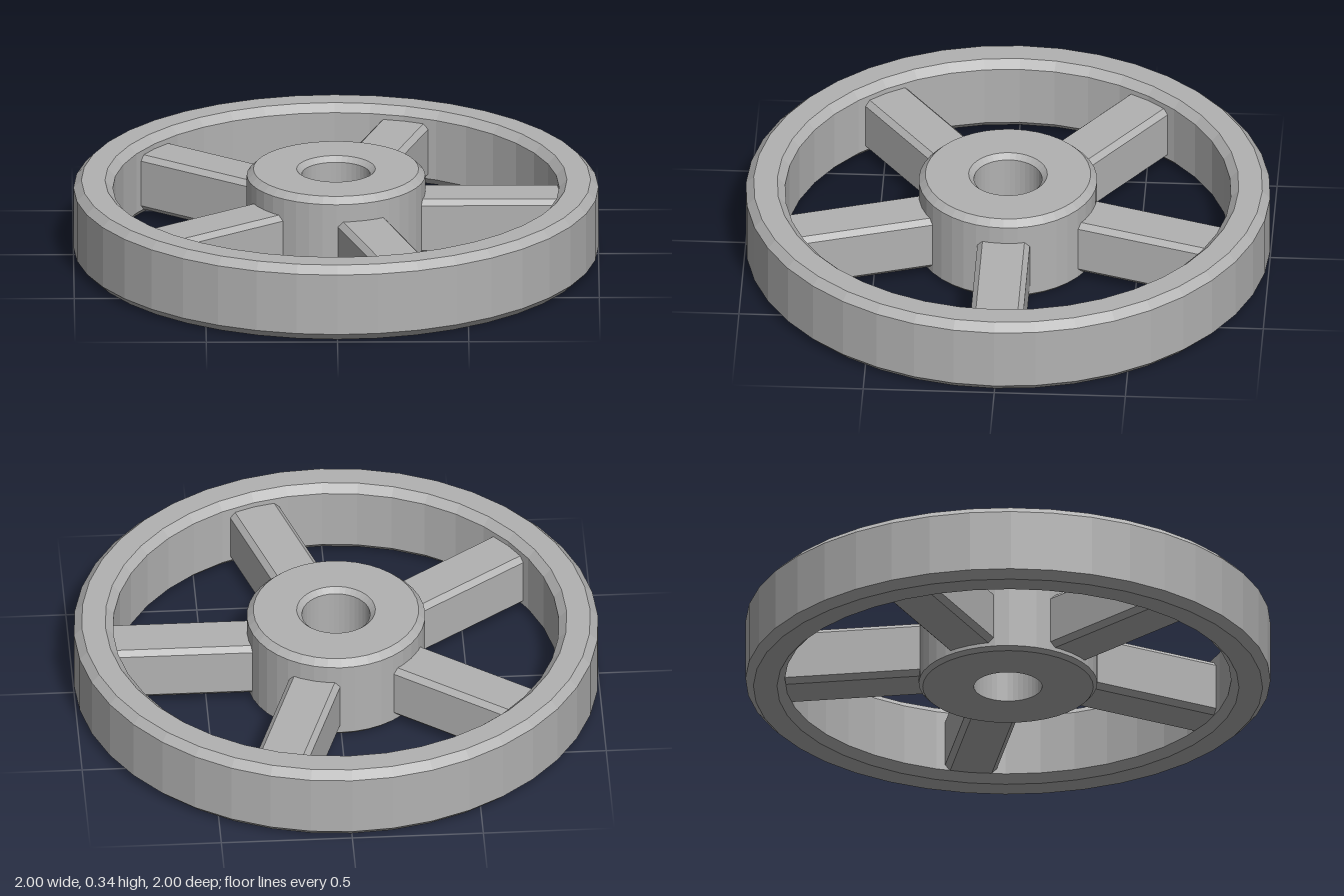
import * as THREE from 'three';

const SEGMENTS = 40;

// Closed ring turned from [radius, height] points, listed counterclockwise
function turnedRing(name, profile, material) {
  const points = [...profile, profile[0]].map(([r, y]) => new THREE.Vector2(r, y));
  const mesh = new THREE.Mesh(new THREE.LatheGeometry(points, SEGMENTS), material);
  mesh.name = name;
  return mesh;
}

// Bar section with its four corners bevelled
function bevelledSection(halfWidth, bottom, top, bevel) {
  const w = halfWidth, b = bevel;
  return new THREE.Shape([
    [-w + b, bottom], [w - b, bottom], [w, bottom + b], [w, top - b],
    [w - b, top], [-w + b, top], [-w, top - b], [-w, bottom + b],
  ].map(([x, y]) => new THREE.Vector2(x, y)));
}

export function createModel() {
  const wheel = new THREE.Group();
  wheel.name = 'spokedWheel';
  const metal = new THREE.MeshStandardMaterial({ color: 0xb2b2b2, flatShading: true });
  metal.name = 'grey metal';

  // Rim with bevelled edges
  wheel.add(turnedRing('rim', [
    [0.88, 0], [0.97, 0], [1, 0.03], [1, 0.27],
    [0.97, 0.3], [0.88, 0.3], [0.85, 0.27], [0.85, 0.03],
  ], metal));

  // Taller hub with a through bore
  wheel.add(turnedRing('hub', [
    [0.13, 0], [0.325, 0], [0.34, 0.015], [0.34, 0.32],
    [0.315, 0.345], [0.15, 0.345], [0.13, 0.325],
  ], metal));

  // Five spokes running from hub to rim
  const bar = new THREE.ExtrudeGeometry(bevelledSection(0.1, 0.03, 0.25, 0.02), {
    depth: 0.57, bevelEnabled: false,
  });
  bar.translate(0, 0, 0.3);
  for (let i = 0; i < 5; i++) {
    const spoke = new THREE.Mesh(bar, metal);
    spoke.name = `spoke${i + 1}`;
    spoke.rotation.y = Math.PI / 2 + (i * Math.PI * 2) / 5;
    wheel.add(spoke);
  }
  return wheel;
}
